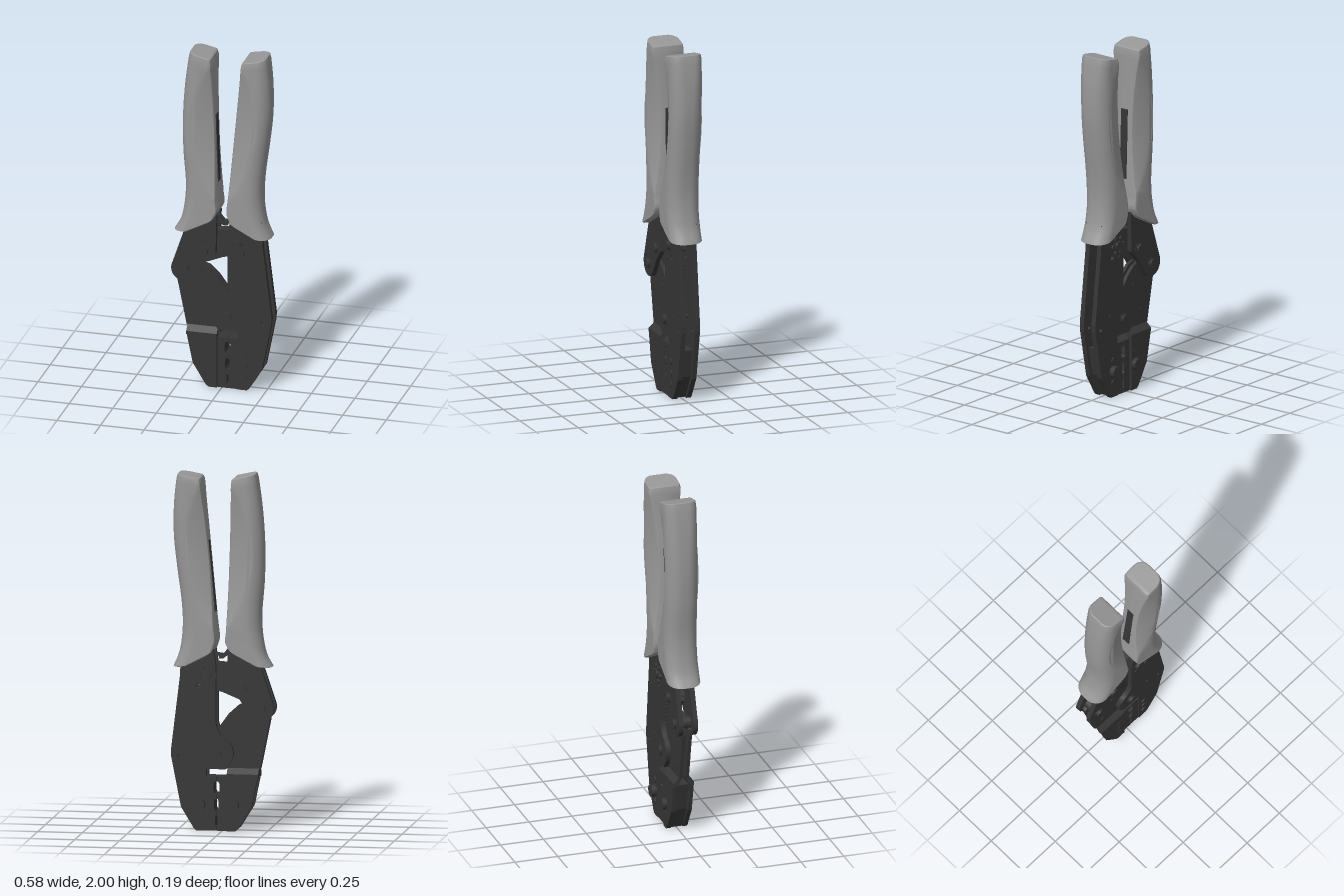
import * as THREE from 'three';
import { toCreasedNormals } from 'three/addons/utils/BufferGeometryUtils.js';

const grip = new THREE.MeshStandardMaterial({ color: 0x979797 });
grip.name = 'greyGrip';
const steel = new THREE.MeshStandardMaterial({ color: 0x363636 });
steel.name = 'darkSteel';

function add(parent, name, geometry, material = steel) {
  const mesh = new THREE.Mesh(geometry, material);
  mesh.name = name;
  parent.add(mesh);
  return mesh;
}

const polygon = (pts) => new THREE.Shape(pts.map(([x, y]) => new THREE.Vector2(x, y)));

function hole(shape, x, y, r) {
  const path = new THREE.Path();
  path.absarc(x, y, r, 0, Math.PI * 2, true);
  shape.holes.push(path);
}

function slab(shape, z0, z1) {
  const g = new THREE.ExtrudeGeometry(shape, { depth: z1 - z0, bevelEnabled: false, curveSegments: 20 });
  return g.translate(0, 0, z0);
}

// The same plate on the front and the back
function platePair(parent, name, shape, z0, z1) {
  add(parent, name + 'Front', slab(shape, z0, z1));
  add(parent, name + 'Back', slab(shape, -z1, -z0));
}

// Round part lying along z
function pin(parent, name, x, y, r, z0, z1, sides = 20) {
  const g = new THREE.CylinderGeometry(r, r, z1 - z0, sides).rotateX(Math.PI / 2);
  return add(parent, name, g.translate(x, y, (z0 + z1) / 2));
}

// Handle sleeve: D-shaped sections with a shallow thumb scoop along the inner edge.
// Rows run from top to bottom: inner x, inner y, outer x, outer y.
function handleGeometry(rows, side) {
  const inner = new THREE.CatmullRomCurve3(rows.map((r) => new THREE.Vector3(r[0], r[1], 0)));
  const outer = new THREE.CatmullRomCurve3(rows.map((r) => new THREE.Vector3(r[2], r[3], 0)));
  const W = 0.094, steps = 48, pos = [], index = [];
  let count = 0;

  const section = (t, inset) => {
    const a = inner.getPoint(t), b = outer.getPoint(t);
    const L = a.distanceTo(b);
    const k = THREE.MathUtils.clamp((a.y - 1.15) / 0.77, 0, 1);
    const s = 0.125 * Math.sin(Math.PI * k) ** 0.8;
    const cut = 0.3 * s;
    const half = [[0, 0], [0, W - cut - 0.012], [0.004, W - cut - 0.004], [0.012, W - cut]];
    for (let i = 1; i <= 5; i++) {
      const u = i / 5;
      half.push([0.012 + u * Math.max(s, 0.015), W - cut * (1 - u) ** 1.3]);
    }
    const r = Math.min(0.085, L * 0.45);
    for (let i = 0; i <= 9; i++) {
      const q = (i / 9) * Math.PI / 2;
      half.push([L - r + r * Math.sin(q), W - r * 0.92 + r * 0.92 * Math.cos(q)]);
    }
    half.push([L, 0]);
    const loop = half.concat(half.slice(1, -1).reverse().map(([d, z]) => [d, -z]));
    const sag = 0.025 * THREE.MathUtils.smoothstep(t, 0.85, 1);
    const lift = t < 0.5 ? inset : -inset;
    for (const [d, z] of loop) {
      const u = THREE.MathUtils.lerp(d / L, 0.5, inset * 14);
      pos.push(a.x + (b.x - a.x) * u, a.y + (b.y - a.y) * u - sag * Math.sin(Math.PI * u) + lift * 0.6,
        z * (1 - inset * 10));
    }
    count = loop.length;
  };

  section(0, 0.01);
  section(0, 0.004);
  for (let i = 1; i < steps; i++) section(i / steps, 0);
  section(1, 0);
  section(1, 0.008);
  const total = pos.length / 3 / count;
  const tri = (a, b, c) => (side > 0 ? index.push(a, b, c) : index.push(a, c, b));
  for (let i = 0; i < total - 1; i++) {
    for (let j = 0; j < count; j++) {
      const a = i * count + j, b = i * count + (j + 1) % count;
      tri(a, a + count, b);
      tri(b, a + count, b + count);
    }
  }
  // End caps, joined across between the two mirrored halves
  const last = (total - 1) * count;
  for (let j = 0; j < count / 2; j++) {
    const m = (count - j) % count, n = count - j - 1;
    tri(j, j + 1, n);
    tri(last + j, last + n, last + j + 1);
    if (m !== j) {
      tri(j, n, m);
      tri(last + j, last + m, last + n);
    }
  }
  const g = new THREE.BufferGeometry();
  g.setAttribute('position', new THREE.Float32BufferAttribute(pos, 3));
  g.setIndex(index);
  return toCreasedNormals(g, 0.5);
}

export function createModel() {
  const model = new THREE.Group();
  model.name = 'crimpingPliers';

  // Handle sleeves
  add(model, 'rightHandle', handleGeometry([
    [-0.055, 1.965, -0.187, 1.995], [-0.05, 1.8, -0.215, 1.8], [-0.043, 1.6, -0.23, 1.6],
    [-0.037, 1.4, -0.228, 1.4], [-0.03, 1.2, -0.213, 1.2], [-0.027, 1.12, -0.222, 1.07],
    [-0.022, 1.06, -0.243, 0.98], [-0.04, 1.02, -0.277, 0.92]], -1), grip);
  add(model, 'leftHandle', handleGeometry([
    [0.12, 1.965, 0.255, 1.99], [0.107, 1.85, 0.273, 1.83], [0.085, 1.66, 0.276, 1.66],
    [0.065, 1.45, 0.258, 1.48], [0.052, 1.28, 0.23, 1.27], [0.043, 1.15, 0.225, 1.14],
    [0.035, 1.06, 0.243, 1.0], [0.05, 1.01, 0.277, 0.915]], 1), grip);

  // Dark slots on the inner faces of the handles
  for (const [name, x, y, tilt] of [['rightSlot', -0.0375, 1.42, 0.034], ['leftSlot', 0.064, 1.42, -0.1]]) {
    const slot = add(model, name, new THREE.BoxGeometry(0.008, 0.4, 0.045));
    slot.position.set(x, y, 0);
    slot.rotation.z = tilt;
  }

  // Fixed body plates with the round pivot boss
  const body = new THREE.Shape();
  body.moveTo(0.09, 0);
  for (const [x, y] of [[0.145, 0], [0.16, 0.015], [0.23, 0.13], [0.285, 0.41], [0.286, 0.45], [0.235, 0.87],
    [0.23, 1.02], [0.05, 1.02], [0.035, 0.92], [0.035, 0.6]]) body.lineTo(x, y);
  body.quadraticCurveTo(0.025, 0.545, -0.016, 0.514);
  body.absarc(0.03, 0.435, 0.092, 2.1, 3.9, false);
  body.lineTo(-0.02, 0.345);
  body.lineTo(0.09, 0.345);
  hole(body, 0.135, 0.81, 0.013);
  hole(body, 0.238, 0.415, 0.011);
  platePair(model, 'bodyPlate', body, 0.027, 0.055);

  // Moving jaw: inner plates, bent step and outer lower plates
  const jaw = polygon([[-0.208, 0.345], [-0.02, 0.345], [0.06, 0.39], [0.06, 0.5], [0.02, 0.58],
    [-0.035, 0.655], [-0.085, 0.7], [-0.14, 0.72], [-0.262, 0.66], [-0.265, 0.63]]);
  platePair(model, 'jawPlate', jaw, 0.008, 0.028);
  const lower = polygon([[-0.203, 0.32], [-0.165, 0.135], [-0.09, 0.012], [-0.075, 0], [-0.027, 0], [-0.027, 0.32]]);
  platePair(model, 'lowerJawPlate', lower, 0.035, 0.06);
  const bend = polygon([[0.008, 0.35], [0.028, 0.35], [0.06, 0.32], [0.06, 0.3], [0.035, 0.3]]);
  for (const side of [1, -1]) {
    const step = add(model, 'jawBend', slab(bend, 0, 0.176).rotateY(-Math.PI / 2));
    step.position.x = -0.027;
    if (side < 0) {
      step.rotation.y = Math.PI;
      step.position.x = -0.203;
    }
  }

  // Inner jaw blocks between the plates
  add(model, 'rightJawBlock', slab(polygon([[-0.185, 0.3], [-0.15, 0.14], [-0.08, 0.006], [-0.027, 0.006],
    [-0.027, 0.3]]), -0.035, 0.035));
  add(model, 'leftJawBlock', slab(polygon([[0.09, 0.006], [0.14, 0.006], [0.212, 0.14], [0.245, 0.3],
    [0.09, 0.3]]), -0.027, 0.027));

  // Pair of crimping dies with openings along the parting line
  for (const [name, side] of [['rightDie', -1], ['leftDie', 1]]) {
    const pts = [[0.057, 0], [0.057, 0.3], [0.001, 0.3]];
    for (const [y0, y1, w] of [[0.205, 0.275, 0.016], [0.11, 0.178, 0.013], [0.025, 0.082, 0.007]]) {
      pts.push([0.001, y1], [w * 0.6, y1], [w, y1 - 0.01], [w, y0 + 0.01], [w * 0.6, y0], [0.001, y0]);
    }
    pts.push([0.001, 0]);
    add(model, name, slab(polygon(pts.map(([x, y]) => [0.032 + side * x, y])), -0.05, 0.05));
  }

  // Link arm carried by the moving handle
  const arm = new THREE.Shape();
  arm.absarc(-0.216, 0.69, 0.074, 2.75, 5.5, false);
  for (const [x, y] of [[-0.1, 0.735], [-0.035, 0.8], [-0.03, 1.03], [-0.2, 1.03], [-0.213, 0.93]]) arm.lineTo(x, y);
  platePair(model, 'linkArm', arm, 0.028, 0.055);

  // Ratchet toggle between the plates
  add(model, 'toggle', slab(polygon([[-0.15, 0.79], [-0.09, 0.735], [0, 0.772], [0.05, 0.785], [0.14, 0.85],
    [0.12, 0.92], [0.03, 0.94], [-0.08, 0.93]]), -0.025, 0.025));

  // Release trigger
  add(model, 'trigger', slab(polygon([[-0.04, 1.01], [-0.035, 0.985], [0.0, 0.96], [0.022, 0.96], [0.025, 0.975],
    [0.085, 0.98], [0.085, 0.995], [0.0, 0.985], [-0.025, 1.015]]), -0.02, 0.02));

  // Pivot bolts with collars on both sides
  for (const [x, y] of [[-0.216, 0.69], [-0.105, 0.805], [0.086, 0.87], [0.032, 0.432]]) {
    pin(model, 'pivotCollar', x, y, 0.036, -0.058, 0.058);
    pin(model, 'pivotBolt', x, y, 0.027, -0.071, 0.071);
  }

  // Ratchet adjuster star on the back
  for (let i = 0; i < 6; i++) {
    const a = (i / 6) * Math.PI * 2;
    pin(model, 'adjusterLobe', 0.086 + 0.045 * Math.cos(a), 0.87 + 0.045 * Math.sin(a), 0.014, -0.066, -0.05, 12);
  }

  // Small rivets
  for (const [x, y, r, z] of [[0.068, 0.797, 0.013, 0.058], [-0.088, 0.588, 0.015, 0.031],
    [-0.163, 0.433, 0.015, 0.031], [0.155, 0.475, 0.013, 0.058]]) pin(model, 'rivet', x, y, r, -z, z, 14);
  for (const x of [-0.063, 0.127]) {
    for (const y of [0.082, 0.147, 0.212]) pin(model, 'jawPin', x, y, 0.019, -0.062, 0.062, 16);
    pin(model, 'jawScrew', x, 0.147, 0.034, -0.085, -0.05);
  }

  // Return spring between the plates
  const coil = [];
  for (let i = 0; i <= 144; i++) {
    const a = (i / 12) * Math.PI * 2;
    coil.push(new THREE.Vector3(0.14 + 0.017 * Math.cos(a), 0.48 + i * 0.002, 0.017 * Math.sin(a)));
  }
  add(model, 'returnSpring', new THREE.TubeGeometry(new THREE.CatmullRomCurve3(coil), 200, 0.005, 6));

  return model;
}
